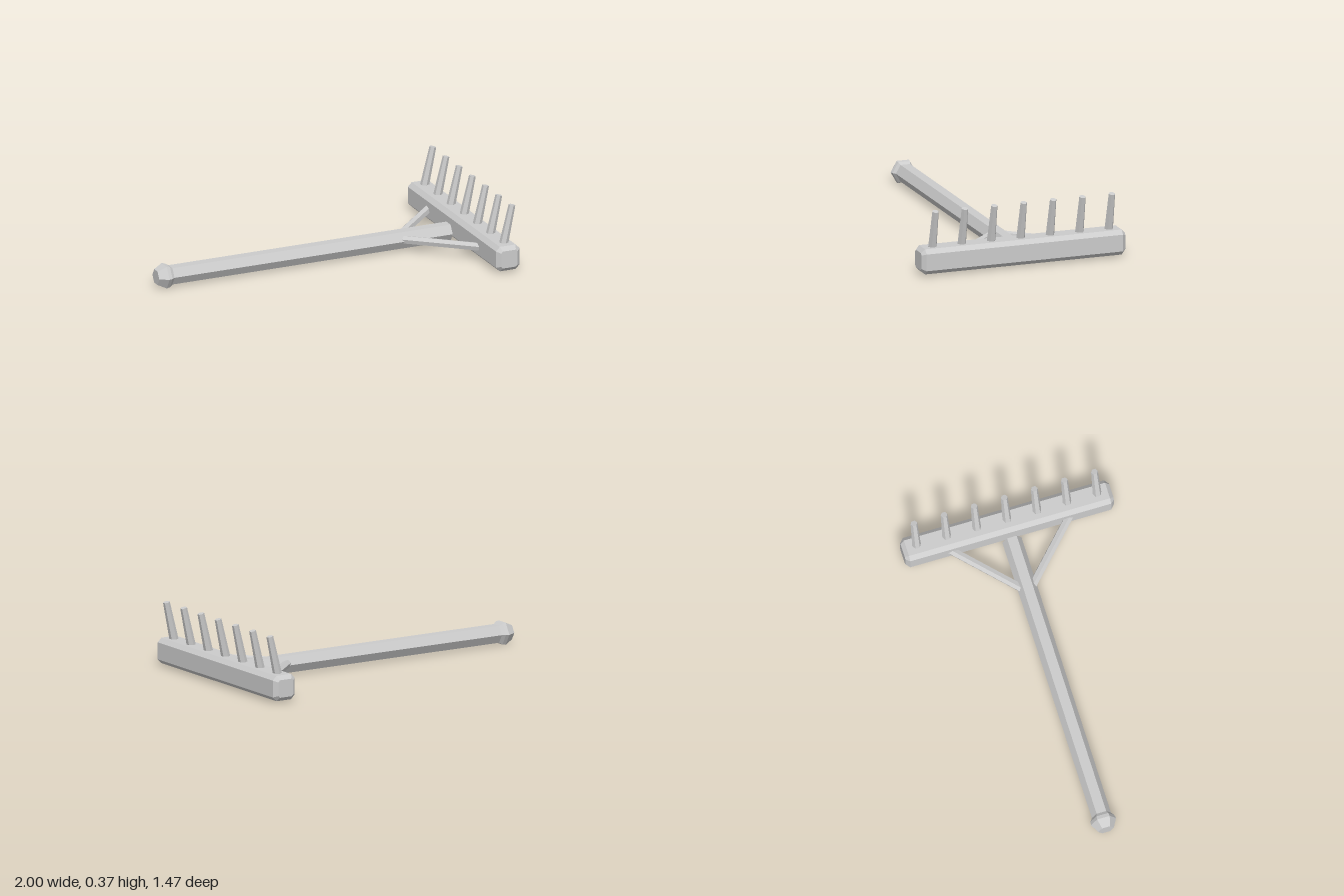
import * as THREE from 'three';

export function createModel() {
  const grey = new THREE.MeshStandardMaterial({ color: 0xcccccc, flatShading: true });
  grey.name = 'plain grey';

  const model = new THREE.Group();
  model.name = 'rake';
  // Local frame: x runs along the handle toward the head, z along the head.
  const rake = new THREE.Group();
  rake.name = 'rakeBody';
  rake.rotation.y = THREE.MathUtils.degToRad(-28);
  model.add(rake);

  const axisZ = -0.158; // handle centre line
  const handleY = 0.067;

  function add(name, geometry, parent = rake) {
    const mesh = new THREE.Mesh(geometry, grey);
    mesh.name = name;
    parent.add(mesh);
    return mesh;
  }

  // Straight bar between two points, with a tapering polygonal section
  function bar(name, from, to, r0, r1, sides) {
    const a = new THREE.Vector3(...from);
    const dir = new THREE.Vector3(...to).sub(a);
    const length = dir.length();
    const mesh = add(name, new THREE.CylinderGeometry(r1, r0, length, sides));
    mesh.position.copy(a).addScaledVector(dir, 0.5);
    mesh.quaternion.setFromUnitVectors(new THREE.Vector3(0, 1, 0), dir.normalize());
    return mesh;
  }

  // Hexagonal handle
  bar('handle', [-1.13, handleY, axisZ], [0.575, handleY, axisZ], 0.055, 0.055, 6);

  // Flared end knob
  const profile = [[0, 0], [0.045, 0], [0.072, 0.05], [0.068, 0.07], [0.05, 0.095]]
    .map(([r, y]) => new THREE.Vector2(r, y));
  const knob = add('handleKnob', new THREE.LatheGeometry(profile, 6));
  knob.rotation.z = -Math.PI / 2;
  knob.position.set(-1.198, handleY, axisZ);

  // Head: chamfered beam
  const w = 0.0715, c = 0.022, halfLength = 0.6;
  const section = new THREE.Shape();
  const k = w - c; // the bevel grows the section back out to w
  [[k, -k + c / 2], [k, k - c / 2], [k - c / 2, k], [-k + c / 2, k],
    [-k, k - c / 2], [-k, -k + c / 2], [-k + c / 2, -k], [k - c / 2, -k]]
    .forEach(([x, y], i) => (i ? section.lineTo(x, y) : section.moveTo(x, y)));
  section.closePath();
  const beam = add('headBeam', new THREE.ExtrudeGeometry(section, {
    depth: 2 * (halfLength - c), bevelEnabled: true, bevelThickness: c, bevelSize: c, bevelSegments: 1,
  }));
  beam.position.set(0.667, 0.0865, axisZ - halfLength + c);

  // Two braces splayed from the handle to the beam
  for (const side of [-1, 1]) {
    bar(side < 0 ? 'backBrace' : 'frontBrace',
      [0.27, handleY + 0.005, axisZ + side * 0.015], [0.615, handleY + 0.015, axisZ + side * 0.345],
      0.024, 0.024, 6);
  }

  // Seven leaning tapered teeth
  for (let i = 0; i < 7; i++) {
    const z = axisZ + (i - 3) * 0.173;
    bar('tooth' + (i + 1), [0.662, 0.12, z], [0.72, 0.37, z], 0.026, 0.019, 6);
  }

  return model;
}
